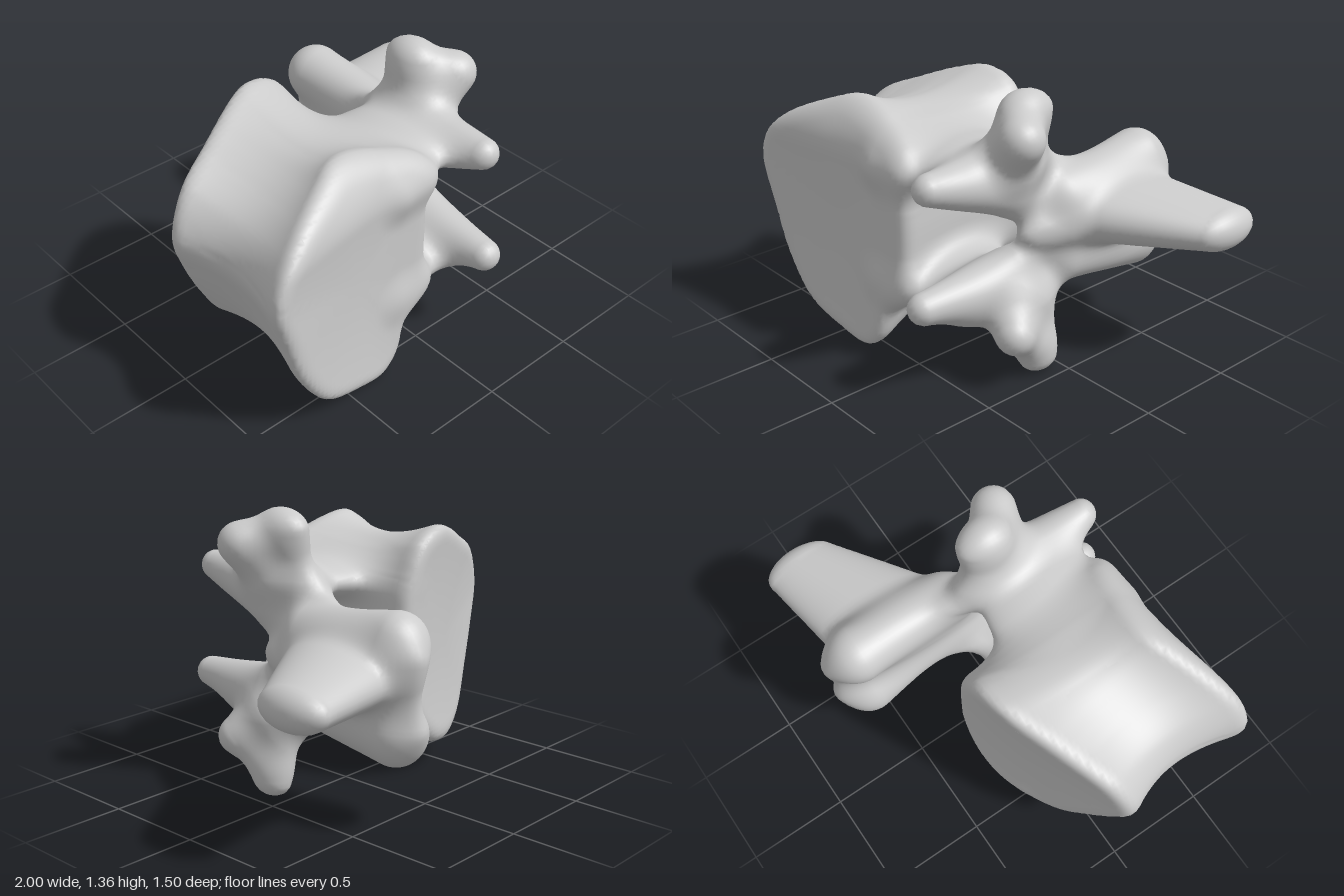
import * as THREE from 'three';

// Polar radius function of a closed smooth outline around a centre
const CX = -0.46, CY = 0.64, BINS = 160;
function polar(points) {
  const curve = new THREE.CatmullRomCurve3(points.map(([x, y]) => new THREE.Vector3(x - CX, y - CY, 0)), true);
  const table = new Array(BINS).fill(0.5);
  for (const p of curve.getPoints(1600)) {
    const a = (Math.atan2(p.y, p.x) / (2 * Math.PI) + 1) % 1;
    table[Math.floor(a * BINS) % BINS] = Math.hypot(p.x, p.y);
  }
  return (angle) => {
    const u = ((angle / (2 * Math.PI) + 1) % 1) * BINS - 0.5 + BINS;
    const i = Math.floor(u), f = u - i;
    return table[i % BINS] * (1 - f) + table[(i + 1) % BINS] * f;
  };
}
const frontRim = polar([[-1, 0.85], [-0.95, 0.99], [-0.82, 1.11], [-0.6, 1.21], [-0.45, 1.25], [-0.2, 1.18],
  [-0.02, 1.08], [0.01, 0.85], [0.01, 0.6], [-0.01, 0.38], [-0.14, 0.2], [-0.2, 0.04], [-0.3, -0.03], [-0.5, 0.01],
  [-0.7, 0.1], [-0.86, 0.33], [-0.94, 0.58]]);
const backRim = polar([[-1.03, 0.85], [-0.92, 1.05], [-0.71, 1.15], [-0.5, 1.23], [-0.35, 1.26], [-0.18, 1.19],
  [-0.08, 0.95], [-0.06, 0.7], [-0.08, 0.45], [-0.18, 0.26], [-0.35, 0.14], [-0.55, 0.11], [-0.72, 0.18],
  [-0.87, 0.41], [-0.98, 0.65]]);

const smin = (a, b, k) => {
  const h = Math.max(k - Math.abs(a - b), 0) / k;
  return Math.min(a, b) - h * h * k * 0.25;
};

// Waisted drum between two slanted, slightly dished end plates
function drum(x, y, z) {
  const dx = x - CX, dy = y - CY, r = Math.hypot(dx, dy), angle = Math.atan2(dy, dx);
  const zFront = 0.575 - 0.14 * x - 2 * Math.max(0, y - 0.95) ** 2;
  const zBack = -smin(0.03 + 0.45 * (x + 1), 0.325, 0.08);
  const t = THREE.MathUtils.clamp((z - zBack) / (zFront - zBack), 0, 1);
  const rim = backRim(angle) * (1 - t) + frontRim(angle) * t;
  const waist = 0.18 - 0.1 * Math.max(0, Math.cos(angle));
  const side = (r - rim * (1 - waist * Math.sin(Math.PI * t))) * 0.9;
  const dish = 0.045 * Math.max(0, 1 - (r / rim) ** 2);
  const ends = Math.max(z - zFront, zBack - z) + dish;
  return -smin(-side, -ends, 0.1);
}

// Tapered round bar from a to b, stretched along z by s
function bar(a, ra, b, rb, s = 1) {
  const bx = b[0] - a[0], by = b[1] - a[1], bz = (b[2] - a[2]) / s, len = bx * bx + by * by + bz * bz;
  return (x, y, z) => {
    const px = x - a[0], py = y - a[1], pz = (z - a[2]) / s;
    const t = Math.min(1, Math.max(0, (px * bx + py * by + pz * bz) / len));
    return Math.hypot(px - bx * t, py - by * t, pz - bz * t) - ra - (rb - ra) * t;
  };
}

const parts = [
  ['vertebralBody', drum],
  ['upperPedicle', bar([-0.18, 0.96, 0.24], 0.12, [0.22, 0.995, 0.245], 0.095, 2.7)],
  ['lowerPedicle', bar([-0.18, 0.39, 0.24], 0.135, [0.24, 0.375, 0.245], 0.12, 2.2)],
  ['upperLamina', bar([0.25, 0.92, 0.04], 0.075, [0.34, 0.72, -0.1], 0.09, 2.5)],
  ['lowerLamina', bar([0.26, 0.44, 0.04], 0.08, [0.34, 0.65, -0.1], 0.09, 2.5)],
  ['spinousProcess', bar([0.43, 0.715, -0.36], 0.165, [0.9, 0.7, -0.55], 0.1, 1.85)],
  ['upperFrontProng', bar([0.26, 0.93, 0.2], 0.135, [0.255, 1.015, 0.62], 0.07)],
  ['lowerFrontProng', bar([0.27, 0.455, 0.2], 0.13, [0.26, 0.465, 0.665], 0.075)],
  ['upperRearProcess', bar([0.34, 0.83, -0.1], 0.1, [0.32, 0.86, -0.59], 0.14)],
  ['lowerRearProcess', bar([0.34, 0.49, -0.1], 0.095, [0.31, 0.44, -0.58], 0.14)],
  ['rearWeb', bar([0.345, 0.8, -0.46], 0.08, [0.335, 0.5, -0.46], 0.08, 3.2)],
  ['upperSideProcess', bar([0.27, 1.05, 0.15], 0.11, [0.3, 1.26, 0.1], 0.085, 1.5)],
  ['upperRidge', bar([0.31, 1.24, 0.13], 0.08, [0.43, 1.19, 0.24], 0.075)],
  ['upperKnob', bar([0.32, 1.06, 0.2], 0.1, [0.44, 1.195, 0.26], 0.08)],
  ['lowerSideProcess', bar([0.34, 0.35, 0.14], 0.11, [0.395, 0.07, 0.1], 0.065, 1.4)],
  ['lowerRidge', bar([0.395, 0.12, 0.12], 0.06, [0.44, 0.26, 0.28], 0.06)],
  ['lowerKnob', bar([0.34, 0.34, 0.2], 0.1, [0.45, 0.265, 0.3], 0.065)],
];
const field = (x, y, z) => parts.reduce((d, [, f]) => smin(d, f(x, y, z), 0.1), 10);

function gradient(p) {
  const e = 0.006;
  return new THREE.Vector3(
    field(p.x + e, p.y, p.z) - field(p.x - e, p.y, p.z),
    field(p.x, p.y + e, p.z) - field(p.x, p.y - e, p.z),
    field(p.x, p.y, p.z + e) - field(p.x, p.y, p.z - e)).divideScalar(2 * e);
}

export function createModel() {
  const group = new THREE.Group();
  group.name = 'vertebra';
  const h = 0.025, min = [-1.1, -0.1, -0.85], n = [89, 64, 69];
  const stride = [1, n[0], n[0] * n[1]];
  const at = (i, axis) => min[axis] + i * h;

  // Sample the blended form on a grid
  const values = new Float32Array(n[0] * n[1] * n[2]);
  for (let k = 0, id = 0; k < n[2]; k++)
    for (let j = 0; j < n[1]; j++)
      for (let i = 0; i < n[0]; i++, id++) values[id] = field(at(i, 0), at(j, 1), at(k, 2));

  // One surface point per crossed cell, pulled onto the form
  const cells = new Map();
  function cellPoint(id) {
    if (!cells.has(id)) {
      const c = [id % n[0], Math.floor(id / stride[1]) % n[1], Math.floor(id / stride[2])];
      const mid = new THREE.Vector3(...c.map((v, axis) => at(v + 0.5, axis)));
      const p = mid.clone();
      for (let s = 0; s < 4; s++) {
        const g = gradient(p);
        p.addScaledVector(g, -field(p.x, p.y, p.z) / Math.max(g.lengthSq(), 0.1));
        p.sub(mid).clampScalar(-0.6 * h, 0.6 * h).add(mid);
      }
      cells.set(id, { p, normal: gradient(p).normalize() });
    }
    return cells.get(id);
  }

  // Join the points into faces and give each face to its nearest part
  const buffers = parts.map(() => ({ position: [], normal: [] }));
  for (let k = 1; k < n[2] - 1; k++)
    for (let j = 1; j < n[1] - 1; j++)
      for (let i = 1; i < n[0] - 1; i++) {
        const id = i + stride[1] * j + stride[2] * k;
        for (let axis = 0; axis < 3; axis++) {
          const inside = values[id] < 0;
          if (inside === values[id + stride[axis]] < 0) continue;
          const b = stride[(axis + 1) % 3], c = stride[(axis + 2) % 3];
          const quad = [id - b - c, id - c, id, id - b].map(cellPoint);
          if (!inside) quad.reverse();
          const m = quad[0].p.clone().add(quad[2].p).multiplyScalar(0.5);
          const near = parts.map(([, f]) => f(m.x, m.y, m.z));
          const out = buffers[near.indexOf(Math.min(...near))];
          for (const q of [0, 1, 2, 0, 2, 3]) {
            out.position.push(...quad[q].p.toArray());
            out.normal.push(...quad[q].normal.toArray());
          }
        }
      }

  const material = new THREE.MeshStandardMaterial({ color: 0xcccccc });
  parts.forEach(([name], index) => {
    const { position, normal } = buffers[index];
    if (!position.length) return;
    const geometry = new THREE.BufferGeometry();
    geometry.setAttribute('position', new THREE.Float32BufferAttribute(position, 3));
    geometry.setAttribute('normal', new THREE.Float32BufferAttribute(normal, 3));
    const mesh = new THREE.Mesh(geometry, material);
    mesh.name = name;
    group.add(mesh);
  });
  return group;
}
